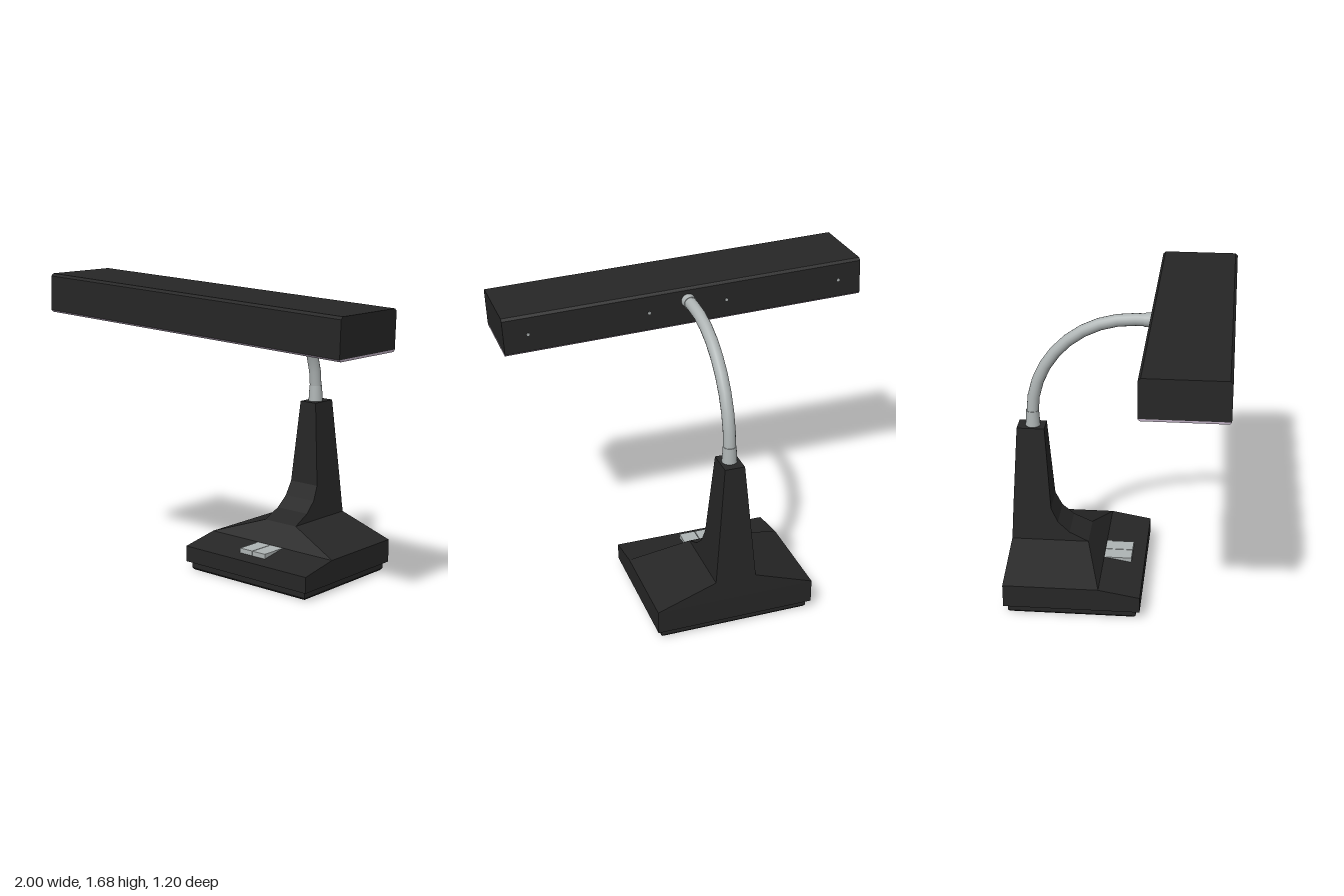
import * as THREE from 'three';

const material = (name, color, side = THREE.FrontSide) => {
  const m = new THREE.MeshStandardMaterial({ color, side });
  m.name = name;
  return m;
};

// Stacks rectangular sections [y, halfWidth, zFront, zBack] into a closed, hard-edged solid
function loft(sections) {
  const rings = sections.map(([y, w, f, b]) => [[-w, y, f], [w, y, f], [w, y, b], [-w, y, b]]);
  const pos = [];
  const quad = (a, b, c, d) => pos.push(...a, ...b, ...c, ...a, ...c, ...d);
  for (let i = 0; i < rings.length - 1; i++) {
    const lo = rings[i], hi = rings[i + 1];
    for (let k = 0; k < 4; k++) {
      const n = (k + 1) % 4;
      quad(lo[k], lo[n], hi[n], hi[k]);
    }
  }
  const first = rings[0], last = rings[rings.length - 1];
  quad(first[3], first[2], first[1], first[0]);
  quad(last[0], last[1], last[2], last[3]);
  const g = new THREE.BufferGeometry();
  g.setAttribute('position', new THREE.Float32BufferAttribute(pos, 3));
  g.computeVertexNormals();
  return g;
}

// Extrudes a (z, y) outline along x, centred
function bar(points, length) {
  const shape = new THREE.Shape(points.map(([z, y]) => new THREE.Vector2(z, y)));
  const g = new THREE.ExtrudeGeometry(shape, { depth: length, bevelEnabled: false });
  return g.translate(0, 0, -length / 2).rotateY(Math.PI / 2);
}

export function createModel() {
  const model = new THREE.Group();
  model.name = 'deskLamp';
  const black = material('blackPlastic', 0x262626);
  const metal = material('greyMetal', 0xaeb4b4);
  const diffuser = material('lavenderDiffuser', 0xb6a8ba);

  const add = (name, geometry, mat, parent = model) => {
    const mesh = new THREE.Mesh(geometry, mat);
    mesh.name = name;
    parent.add(mesh);
    return mesh;
  };

  // Recessed foot under the base
  add('foot', loft([
    [0, 0.402, 0.112, -0.567],
    [0.012, 0.412, 0.122, -0.577],
    [0.05, 0.412, 0.122, -0.577],
  ]), black);

  // Sloped base flowing into the tapered post
  add('baseAndPost', loft([
    [0.05, 0.435, 0.145, -0.6],
    [0.14, 0.435, 0.145, -0.6],
    [0.18, 0.435, -0.08, -0.6],
    [0.29, 0.112, -0.165, -0.592],
    [0.34, 0.107, -0.27, -0.589],
    [0.40, 0.102, -0.335, -0.586],
    [0.48, 0.095, -0.373, -0.582],
    [0.945, 0.054, -0.405, -0.555],
  ]), black);

  // Pair of switch buttons
  for (const side of [-1, 1]) {
    const button = add(side < 0 ? 'rightSwitch' : 'leftSwitch',
      new THREE.BoxGeometry(0.088, 0.05, 0.152), metal);
    button.position.set(side * 0.046, 0.155, -0.003);
  }

  // Curved neck: a quarter arc with straight ends
  const radius = 0.553, cz = 0.08, cy = 1.02;
  const path = new THREE.CurvePath();
  const points = [];
  for (let i = 0; i <= 8; i++) {
    const a = (i / 8) * Math.PI / 2;
    points.push(new THREE.Vector3(0, cy + radius * Math.sin(a), cz - radius * Math.cos(a)));
  }
  points.push(new THREE.Vector3(0, cy + radius, 0.18));
  for (let i = 0; i < points.length - 1; i++) path.add(new THREE.LineCurve3(points[i], points[i + 1]));
  add('neck', new THREE.TubeGeometry(new THREE.CatmullRomCurve3(points), 10, 0.033, 16), metal);

  // Collars at both ends of the neck
  const lowerCollar = add('lowerCollar', new THREE.CylinderGeometry(0.035, 0.041, 0.1, 20), metal);
  lowerCollar.position.set(0, 0.983, cz - radius);
  const upperCollar = add('upperCollar', new THREE.CylinderGeometry(0.038, 0.036, 0.045, 20), metal);
  upperCollar.rotation.x = Math.PI / 2;
  upperCollar.position.set(0, cy + radius, 0.148);

  // Slightly tilted lamp head
  const head = new THREE.Group();
  head.name = 'head';
  head.position.set(0, 1.54, 0.384);
  head.rotation.z = -0.035;
  model.add(head);
  const d = 0.216, length = 1.994;
  add('headShell', bar([
    [-d, -0.094], [d, -0.094], [d, 0.092], [d - 0.013, 0.105], [-d + 0.013, 0.105], [-d, 0.092],
  ], length), black, head);
  add('lightPanel', bar([
    [-d + 0.01, -0.105], [d - 0.01, -0.105], [d, -0.094], [-d, -0.094],
  ], length), diffuser, head);

  // Screws along the back of the head
  for (const x of [-0.867, -0.216, 0.216, 0.867]) {
    const screw = add('screw', new THREE.CylinderGeometry(0.008, 0.008, 0.006, 10), metal, head);
    screw.rotation.x = Math.PI / 2;
    screw.position.set(x, 0, -d - 0.001);
  }
  return model;
}
